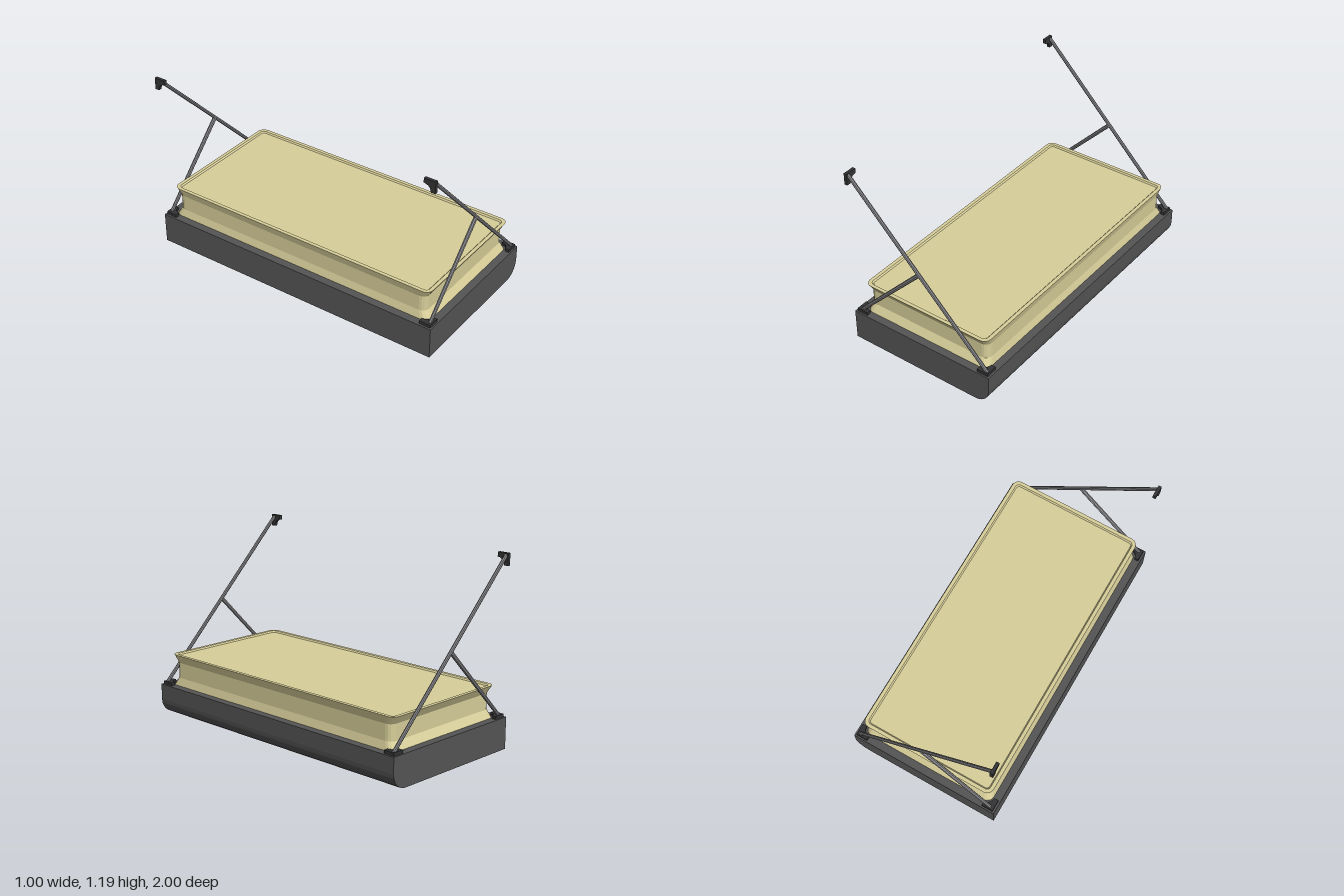
import * as THREE from 'three';

const mat = (color) => new THREE.MeshStandardMaterial({ color, flatShading: true, roughness: 0.9 });
const frameMat = mat(0x555555);
const mattressMat = mat(0xd8cf9a);
const strutMat = mat(0x858588);
const bracketMat = mat(0x343436);

function add(parent, name, geometry, material) {
  const mesh = new THREE.Mesh(geometry, material);
  mesh.name = name;
  parent.add(mesh);
  return mesh;
}

// Bed tray: side profile with one rounded lower edge, extruded along z
function trayGeometry() {
  const s = new THREE.Shape();
  s.moveTo(-0.5, 0);
  s.lineTo(0.4, 0);
  s.absarc(0.4, 0.1, 0.1, -Math.PI / 2, 0, false);
  s.lineTo(0.5, 0.2);
  s.lineTo(-0.5, 0.2);
  s.closePath();
  return new THREE.ExtrudeGeometry(s, { depth: 2, bevelEnabled: false, curveSegments: 3 }).translate(0, 0, -1);
}

// Mattress: rounded rectangles [half width, half length, corner radius, y] joined in rings
function mattressGeometry() {
  const rings = [
    [0, 0, 0, 0.2],
    [0.45, 0.95, 0.045, 0.2],
    [0.437, 0.922, 0.044, 0.25],
    [0.437, 0.922, 0.044, 0.35],
    [0.45, 0.95, 0.045, 0.4],
    [0.427, 0.927, 0.025, 0.4],
    [0.419, 0.919, 0.02, 0.391],
    [0, 0, 0, 0.391],
  ];
  const corners = [[1, 1], [-1, 1], [-1, -1], [1, -1]];
  const steps = 4;
  const n = corners.length * (steps + 1);
  const positions = [];
  const index = [];
  for (const [hx, hz, r, y] of rings) {
    corners.forEach(([sx, sz], c) => {
      for (let i = 0; i <= steps; i++) {
        const a = (c + i / steps) * Math.PI / 2;
        positions.push(sx * (hx - r) + r * Math.cos(a), y, sz * (hz - r) + r * Math.sin(a));
      }
    });
  }
  for (let k = 0; k < rings.length - 1; k++) {
    for (let i = 0; i < n; i++) {
      const a = k * n + i;
      const b = k * n + (i + 1) % n;
      index.push(a, a + n, b, b, a + n, b + n);
    }
  }
  const g = new THREE.BufferGeometry();
  g.setAttribute('position', new THREE.Float32BufferAttribute(positions, 3));
  g.setIndex(index);
  const flat = g.toNonIndexed();
  flat.computeVertexNormals();
  return flat;
}

// Corner bracket: L-shaped plate with a concave inner curve, corner at the origin
function bracketGeometry() {
  const s = new THREE.Shape();
  s.moveTo(0, 0);
  s.lineTo(0.075, 0);
  s.lineTo(0.075, 0.028);
  s.quadraticCurveTo(0.032, 0.032, 0.028, 0.075);
  s.lineTo(0, 0.075);
  s.closePath();
  return new THREE.ExtrudeGeometry(s, { depth: 0.02, bevelEnabled: false, curveSegments: 5 });
}

// Round bar between two points
function bar(parent, name, from, to, rFrom, rTo) {
  const dir = to.clone().sub(from);
  const mesh = add(parent, name, new THREE.CylinderGeometry(rTo, rFrom, dir.length(), 8), strutMat);
  mesh.position.copy(from).addScaledVector(dir, 0.5);
  mesh.quaternion.setFromUnitVectors(new THREE.Vector3(0, 1, 0), dir.normalize());
}

// One end's supports, built at z > 0
function supports(side) {
  const group = new THREE.Group();
  group.name = side + 'Supports';
  const p = (x, y) => new THREE.Vector3(x, y, 0.972);
  bar(group, 'longStrut', p(0.475, 0.21), p(-0.485, 1.175), 0.0115, 0.0115);
  bar(group, 'braceStrut', p(-0.465, 0.21), p(-0.002, 0.688), 0.0115, 0.0135);

  // Plates lying on the tray corners
  for (const sx of [1, -1]) {
    const g = bracketGeometry().rotateX(-Math.PI / 2); // arms along +x and -z
    g.translate(0, 0.2, 0.99);
    const plate = add(group, 'trayBracket', g, bracketMat);
    plate.position.x = sx * 0.487;
    plate.scale.x = -sx;
  }

  // Upright wall plate, arms along -z and -y
  const wall = bracketGeometry();
  wall.rotateZ(-Math.PI / 2); // arms along +x and -y
  wall.rotateY(Math.PI / 2);  // +x to -z, thickness to +x
  wall.translate(-0.499, 1.188, 0.99);
  add(group, 'wallBracket', wall, bracketMat);
  return group;
}

export function createModel() {
  const model = new THREE.Group();
  model.name = 'foldingBunk';
  add(model, 'bedTray', trayGeometry(), frameMat);
  add(model, 'mattress', mattressGeometry(), mattressMat);
  model.add(supports('front'));
  const back = supports('back');
  back.scale.z = -1;
  model.add(back);
  return model;
}
